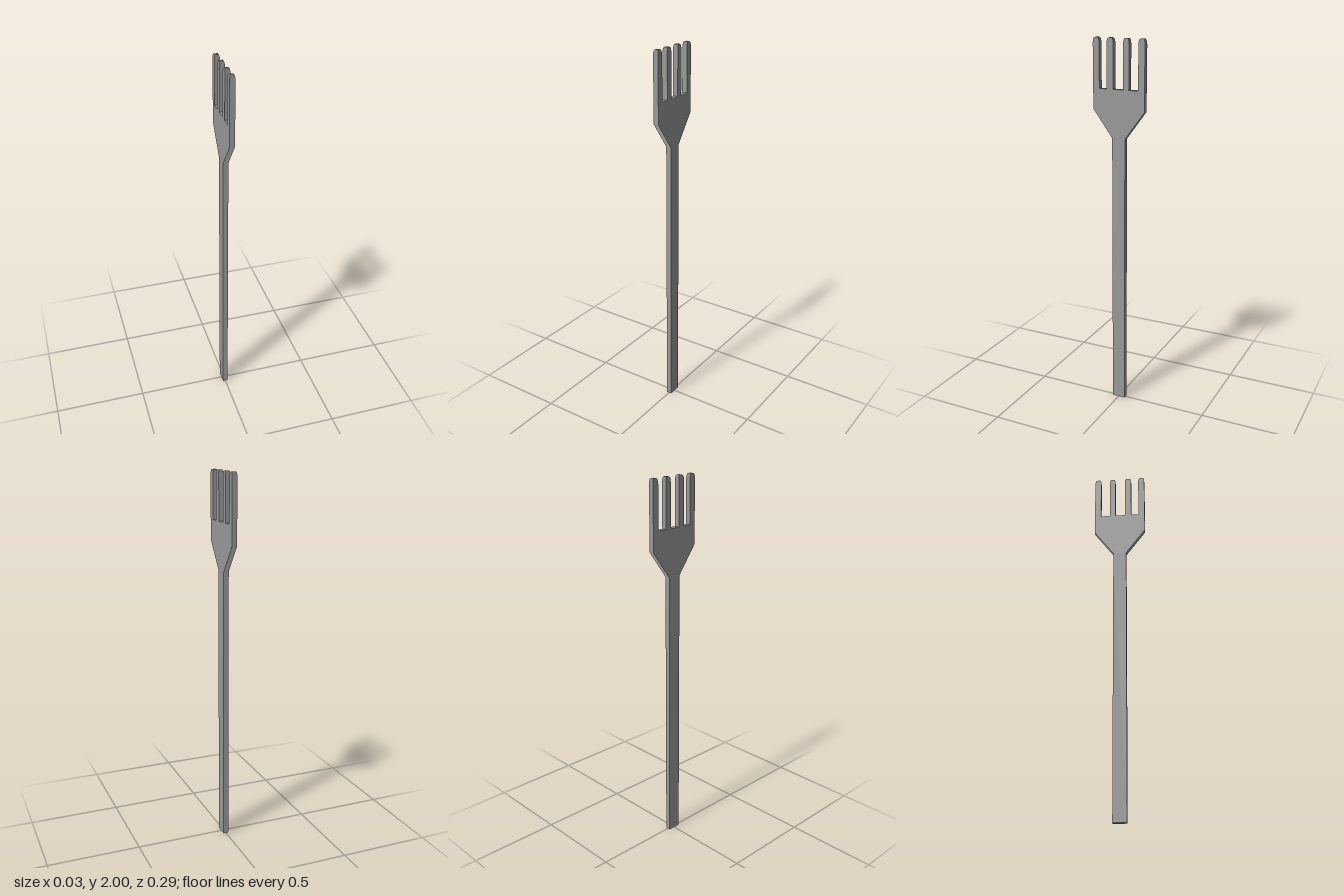
import * as THREE from 'three';

const THICK = 0.028;
const HEAD_TOP = 1.746;
const TIP = 0.03; // length of the rounded tip

// Tine: a square bar whose top rows of vertices close in like a dome
function tineGeometry(z0, z1) {
  const rows = 6, h = 2 - HEAD_TOP, w = z1 - z0;
  const geo = new THREE.BoxGeometry(THICK, h, w, 1, rows, 1);
  const p = geo.attributes.position, n = geo.attributes.normal;
  for (let i = 0; i < p.count; i++) {
    // The small end face shades softly into the sides
    if (n.getY(i) > 0.5) {
      const v = new THREE.Vector3(Math.sign(p.getX(i)), 0.3, Math.sign(p.getZ(i))).normalize();
      n.setXYZ(i, v.x, v.y, v.z);
    }
    const row = Math.round((p.getY(i) / h + 0.5) * rows);
    const a = row < 2 ? 0 : ((row - 1) / (rows - 1)) * Math.PI / 2;
    const y = row === 0 ? HEAD_TOP : 2 - TIP + TIP * Math.sin(a);
    const inset = 1 - Math.cos(a);
    p.setXYZ(i, p.getX(i) * (1 - 0.3 * inset), y, (z0 + z1) / 2 + p.getZ(i) * (1 - 0.5 * inset));
  }
  return geo;
}

// Handle, sloped shoulders and head as one flat plate, drawn in z and y
function plateGeometry() {
  const outline = [[0.036, 0], [0.036, 1.496], [0.143, 1.64], [0.143, HEAD_TOP]];
  const mirrored = outline.map(([z, y]) => [-z, y]).reverse();
  const shape = new THREE.Shape([...outline, ...mirrored].map(([z, y]) => new THREE.Vector2(z, y)));
  const geo = new THREE.ExtrudeGeometry(shape, { depth: THICK, bevelEnabled: false });
  geo.rotateY(-Math.PI / 2).translate(THICK / 2, 0, 0);
  // The narrow sides shade as one continuous strip past the shoulders
  const n = geo.attributes.normal;
  for (let i = 0; i < n.count; i++) {
    if (Math.abs(n.getZ(i)) > 0.3) n.setXYZ(i, 0, 0, Math.sign(n.getZ(i)));
  }
  return geo;
}

export function createModel() {
  const group = new THREE.Group();
  group.name = 'fork';
  const material = new THREE.MeshStandardMaterial({ color: 0x9a9a9a });
  const add = (name, geo) => {
    const mesh = new THREE.Mesh(geo, material);
    mesh.name = name;
    group.add(mesh);
  };

  add('handleAndHead', plateGeometry());

  // Four tines with uneven gaps
  const tines = [[-0.143, -0.108], [-0.057, -0.025], [0.03, 0.066], [0.108, 0.143]];
  tines.forEach(([z0, z1], i) => add(`tine${i + 1}`, tineGeometry(z0, z1)));

  return group;
}
